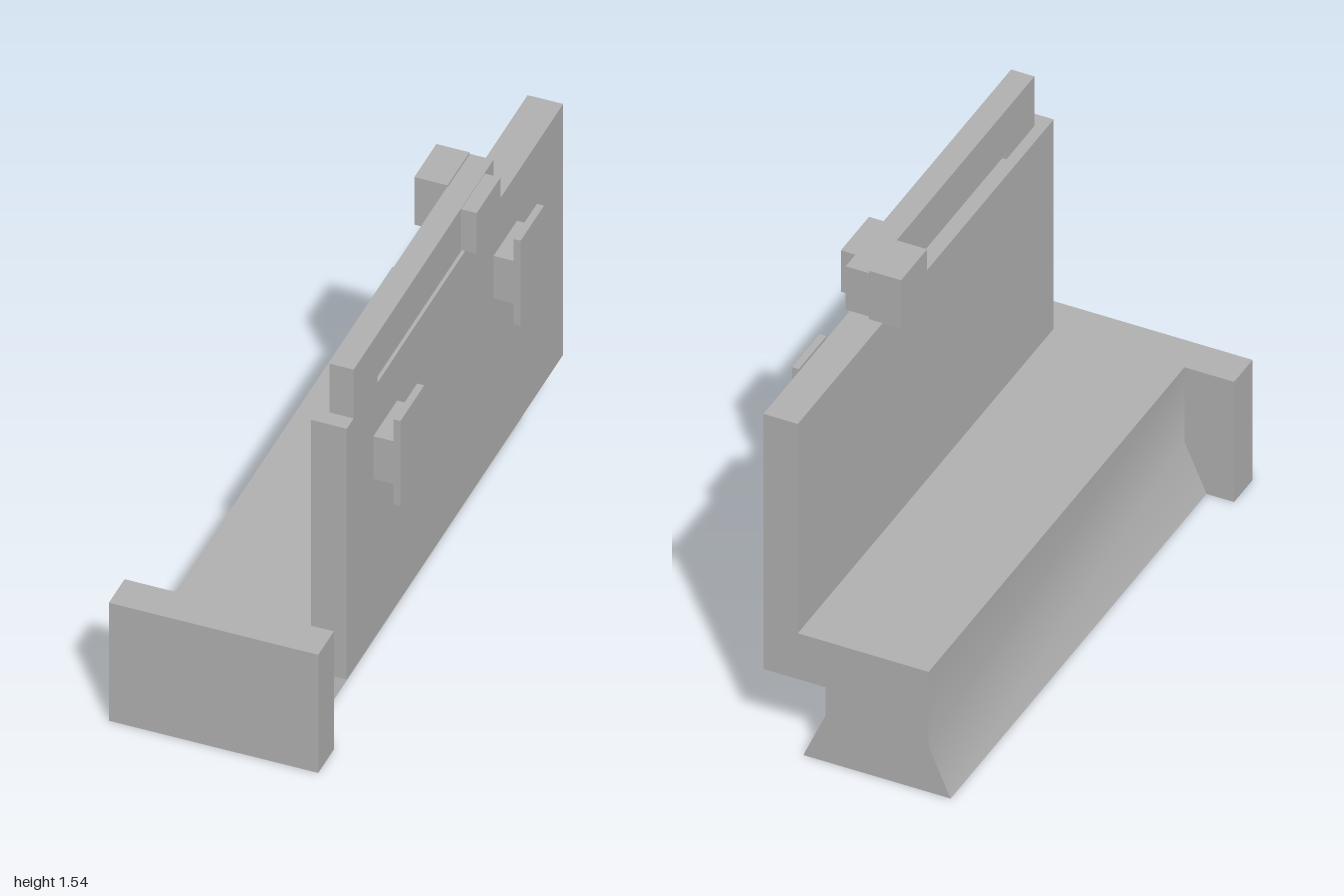
import * as THREE from 'three';
import { toCreasedNormals } from 'three/addons/utils/BufferGeometryUtils.js';

const grey = new THREE.MeshStandardMaterial({ color: 0xb2b2b2 });

// Box given by its limits on each axis
function block(name, [x0, x1], [y0, y1], [z0, z1]) {
  const mesh = new THREE.Mesh(new THREE.BoxGeometry(x1 - x0, y1 - y0, z1 - z0), grey);
  mesh.position.set((x0 + x1) / 2, (y0 + y1) / 2, (z0 + z1) / 2);
  mesh.name = name;
  return mesh;
}

// Copy of a geometry without the triangles lying on y = 0, optionally turned inside out
function openBottom(geometry, inward = false) {
  const src = geometry.index ? geometry.toNonIndexed() : geometry;
  const p = src.attributes.position;
  const out = [];
  for (let i = 0; i < p.count; i += 3) {
    const ids = inward ? [i, i + 2, i + 1] : [i, i + 1, i + 2];
    if (ids.every((k) => Math.abs(p.getY(k)) < 1e-4)) continue;
    for (const k of ids) out.push(p.getX(k), p.getY(k), p.getZ(k));
  }
  const result = new THREE.BufferGeometry();
  result.setAttribute('position', new THREE.Float32BufferAttribute(out, 3));
  result.computeVertexNormals();
  return result;
}

const points = (list) => list.map(([x, y]) => new THREE.Vector2(x, y));

export function createModel() {
  const model = new THREE.Group();
  const back = -1, front = 0.865;

  // Flared rail and upright wall, one continuous section along z
  const profile = new THREE.Shape(points([
    [-0.34, 0], [0.195, 0], [0.115, 0.185], [0.115, 0.3], [0.34, 0.3],
    [0.34, 1.33], [0.215, 1.33], [0.215, 0.485], [-0.26, 0.485], [-0.26, 0.185],
  ]));
  const section = new THREE.ExtrudeGeometry(profile, { depth: front - back, bevelEnabled: false });
  section.translate(0, 0, back);
  const body = new THREE.Mesh(toCreasedNormals(openBottom(section), Math.PI / 6), grey);
  body.name = 'railAndWall';
  model.add(body);

  // Underside with a square opening (shape y becomes z)
  const hx0 = -0.235, hx1 = 0.09, hz0 = -0.015, hz1 = 0.325, depth = 0.08;
  const sole = new THREE.Shape(points([[-0.34, back], [0.195, back], [0.195, front], [-0.34, front]]));
  sole.holes.push(new THREE.Path(points([[hx0, hz0], [hx0, hz1], [hx1, hz1], [hx1, hz0]])));
  const underside = new THREE.Mesh(new THREE.ShapeGeometry(sole).rotateX(Math.PI / 2), grey);
  underside.name = 'underside';
  model.add(underside);

  // Pocket walls and ceiling
  const pocketBox = new THREE.BoxGeometry(hx1 - hx0, depth, hz1 - hz0);
  pocketBox.translate((hx0 + hx1) / 2, depth / 2, (hz0 + hz1) / 2);
  const pocket = new THREE.Mesh(openBottom(pocketBox, true), grey);
  pocket.name = 'undersidePocket';
  model.add(pocket);

  // End plate
  model.add(block('endPlate', [-0.44, 0.295], [0, 0.485], [front, 1]));

  // Spring arm along the top, held at one end
  model.add(block('armFoot', [0.255, 0.34], [1.33, 1.53], [0.6, 0.805]));
  model.add(block('arm', [0.255, 0.34], [1.355, 1.53], [-0.4, 0.6]));
  model.add(block('armCatch', [0.14, 0.257], [1.343, 1.538], [-0.398, -0.208]));
  model.add(block('armButton', [0.34, 0.395], [1.36, 1.527], [-0.325, -0.12]));

  // T-shaped hooks on the outer wall
  for (const z of [[0.43, 0.635], [-0.602, -0.4]]) {
    const hook = new THREE.Group();
    hook.name = 'hook';
    hook.add(block('hookStem', [0.34, 0.41], [0.96, 1.135], z));
    hook.add(block('hookFace', [0.41, 0.435], [0.875, 1.225], z));
    model.add(hook);
  }
  return model;
}
